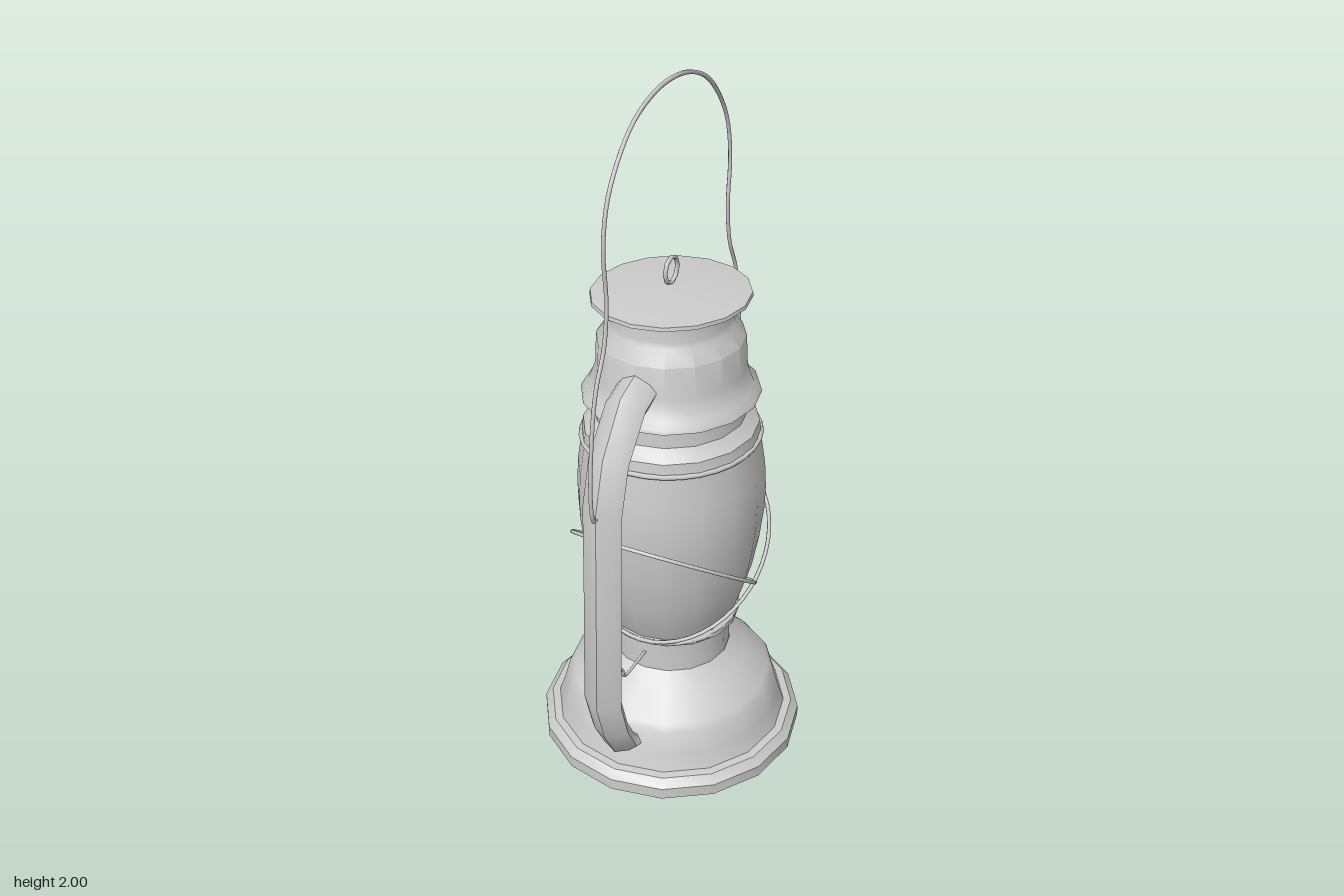
import * as THREE from 'three';
import { toCreasedNormals, mergeVertices } from 'three/addons/utils/BufferGeometryUtils.js';

const material = new THREE.MeshStandardMaterial({ color: 0xcccccc, side: THREE.DoubleSide });
const SIDES = 16;

function addMesh(parent, name, geometry) {
  const mesh = new THREE.Mesh(geometry, material);
  mesh.name = name;
  parent.add(mesh);
  return mesh;
}

// Turned part from [radius, height] pairs, listed bottom to top
function turned(parent, name, profile, scaleX = 1) {
  const lathe = new THREE.LatheGeometry(profile.map(([r, y]) => new THREE.Vector2(r, y)), SIDES);
  lathe.scale(scaleX, 1, 1);
  return addMesh(parent, name, toCreasedNormals(lathe, 0.65));
}

// Thin wire through [x, y, z] points
function wire(parent, name, points, segments, closed = false, radius = 0.006) {
  const curve = new THREE.CatmullRomCurve3(points.map(p => new THREE.Vector3(...p)), closed, 'centripetal');
  return addMesh(parent, name, new THREE.TubeGeometry(curve, segments, radius, 6, closed));
}

// Faceted air tube swept along a path in the z-y plane
function airTubeGeometry(side) {
  const path = [[0.29, 0.13], [0.335, 0.145], [0.385, 0.235], [0.422, 0.355], [0.405, 0.7],
    [0.395, 0.97], [0.355, 1.1], [0.26, 1.21], [0.16, 1.245]]
    .map(([z, y]) => new THREE.Vector2(z, y));
  // Cross-section: [across, outward]
  const section = [[0, 0.038], [0.04, 0.02], [0.058, 0.002], [0.042, -0.026],
    [0, -0.036], [-0.042, -0.026], [-0.058, 0.002], [-0.04, 0.02]];
  const n = section.length;
  const positions = [], index = [];
  path.forEach((p, i) => {
    const before = path[Math.max(i - 1, 0)], after = path[Math.min(i + 1, path.length - 1)];
    const t = after.clone().sub(before).normalize();
    // Outward normal of the path
    const nz = t.y, ny = -t.x;
    // The upper end flares where it enters the hood
    const grow = i >= path.length - 2 ? 1.25 : 1;
    for (const [x, o] of section) positions.push(x * side, p.y + ny * o * grow, (p.x + nz * o * grow) * side);
  });
  for (let i = 0; i < path.length - 1; i++) {
    for (let j = 0; j < n; j++) {
      const a = i * n + j, b = i * n + (j + 1) % n;
      index.push(a, b, a + n, b, b + n, a + n);
    }
  }
  // End caps
  const last = (path.length - 1) * n;
  for (let j = 1; j < n - 1; j++) {
    index.push(0, j + 1, j, last, last + j, last + j + 1);
  }
  const geometry = new THREE.BufferGeometry();
  geometry.setAttribute('position', new THREE.Float32BufferAttribute(positions, 3));
  geometry.setIndex(index);
  return toCreasedNormals(mergeVertices(geometry), 0.7);
}

export function createModel() {
  const lantern = new THREE.Group();
  lantern.name = 'lantern';

  // Fuel tank, closed underneath, with the burner collar on top
  turned(lantern, 'fuelTank', [[0, 0], [0.39, 0], [0.39, 0.035], [0.368, 0.058], [0.345, 0.06],
    [0.328, 0.11], [0.31, 0.175], [0.295, 0.195], [0.23, 0.25], [0.175, 0.295]]);
  turned(lantern, 'burnerCollar', [[0.173, 0.29], [0.173, 0.4], [0.2, 0.405], [0.2, 0.42], [0.18, 0.42]]);

  // Glass globe
  turned(lantern, 'globe', [[0.188, 0.415], [0.213, 0.47], [0.243, 0.56], [0.262, 0.66], [0.274, 0.76],
    [0.276, 0.83], [0.271, 0.91], [0.255, 1.01]], 0.96);

  // Rolled rims holding the globe
  for (const [name, r, y] of [['lowerRim', 0.2, 0.415], ['upperRim', 0.257, 1.01]]) {
    const rim = addMesh(lantern, name, new THREE.TorusGeometry(r, 0.007, 6, 32));
    rim.rotation.x = Math.PI / 2;
    rim.scale.x = 0.96;
    rim.position.y = y;
  }

  // Globe plate, hood and chimney
  turned(lantern, 'globePlate', [[0.257, 1.01], [0.252, 1.045], [0.217, 1.075], [0.213, 1.14]], 0.96);
  turned(lantern, 'hood', [[0.2, 1.14], [0.255, 1.137], [0.252, 1.147], [0.232, 1.165], [0.213, 1.215],
    [0.208, 1.305], [0.176, 1.345], [0.171, 1.36], [0.171, 1.425]], 0.96);

  // Lid with its lifting ring
  turned(lantern, 'lid', [[0, 1.415], [0.16, 1.415], [0.227, 1.42], [0.225, 1.43], [0, 1.452]], 0.94);
  const ring = addMesh(lantern, 'lidRing', new THREE.TorusGeometry(0.036, 0.006, 6, 8));
  ring.rotation.set(0, Math.PI / 2, 0);
  ring.position.y = 1.488;

  // Air tubes and small crank wires at front and back
  for (const side of [1, -1]) {
    const end = side > 0 ? 'front' : 'back';
    addMesh(lantern, end + 'AirTube', airTubeGeometry(side));
    wire(lantern, end + 'CrankWire', [[0, 0.35, 0.16], [0, 0.35, 0.29], [0, 0.358, 0.302], [0, 0.382, 0.308],
      [0, 0.392, 0.325], [0, 0.395, 0.4]].map(([x, y, z]) => [x, y, z * side]), 24, false, 0.005);
  }

  // Two tilted guard loops that cross at the sides of the globe
  for (const side of [1, -1]) {
    const loop = [];
    for (let i = 0; i < 24; i++) {
      const a = i / 24 * Math.PI * 2;
      loop.push([0.266 * Math.cos(a), 0.605 + 0.188 * Math.sin(a), side * (0.045 + 0.247 * Math.sin(a))]);
    }
    wire(lantern, side > 0 ? 'frontGuardLoop' : 'backGuardLoop', loop, 48, true);
  }

  // Wire carrying handle
  const half = [[0.415, 0.965], [0.44, 0.965], [0.453, 1.02], [0.443, 1.18], [0.412, 1.33], [0.365, 1.43],
    [0.348, 1.54], [0.357, 1.69], [0.325, 1.81], [0.22, 1.93], [0.11, 1.98]];
  const bail = [
    ...half.map(([z, y]) => [0, y, z]),
    [0, 1.994, 0],
    ...half.slice().reverse().map(([z, y]) => [0, y, -z]),
  ];
  wire(lantern, 'carryingHandle', bail, 90);

  return lantern;
}
